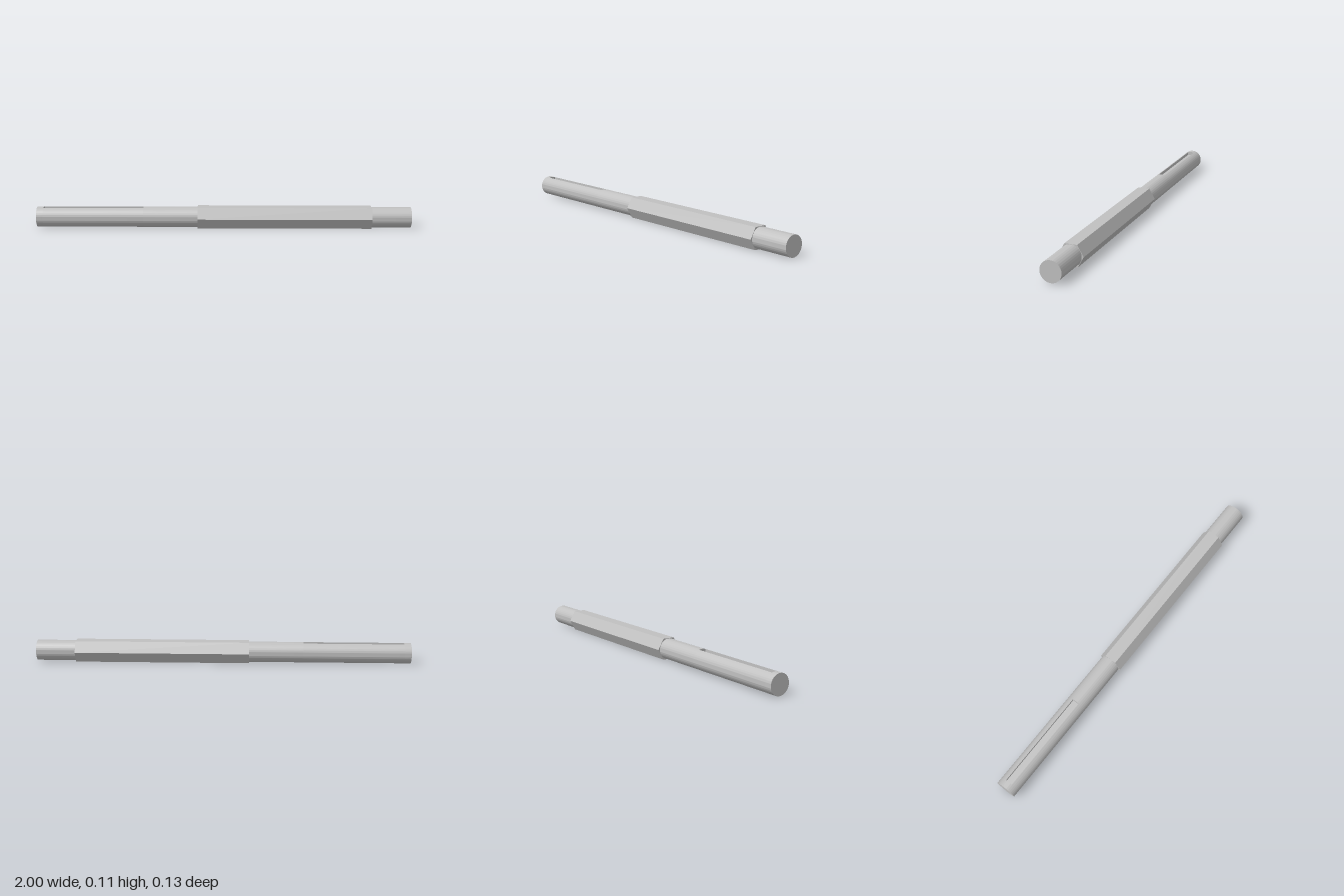
import * as THREE from 'three';
import { toCreasedNormals } from 'three/addons/utils/BufferGeometryUtils.js';

const AXIS_Y = 0.056;      // height of the shaft axis
const R = 0.0545;          // round shaft radius
const HEX_R = AXIS_Y / Math.cos(Math.PI / 6);
const SLOT_HALF = 0.0185;  // half width of the keyway
const SLOT_FLOOR = 0.034;  // keyway floor above the axis

// Round section
function roundShape() {
  const s = new THREE.Shape();
  s.absarc(0, 0, R, 0, Math.PI * 2, false);
  return s;
}

// Round section with a square notch cut in its top
function notchedShape() {
  const a = Math.asin(SLOT_HALF / R);
  const s = new THREE.Shape();
  s.absarc(0, 0, R, Math.PI / 2 + a, Math.PI * 2.5 - a, false);
  s.lineTo(SLOT_HALF, SLOT_FLOOR);
  s.lineTo(-SLOT_HALF, SLOT_FLOOR);
  s.closePath();
  return s;
}

// Hexagon with flats on top and bottom
function hexShape() {
  const pts = [];
  for (let i = 0; i < 6; i++) {
    const a = i * Math.PI / 3;
    pts.push(new THREE.Vector2(Math.cos(a) * HEX_R, Math.sin(a) * HEX_R));
  }
  return new THREE.Shape(pts);
}

export function createModel() {
  const group = new THREE.Group();
  group.name = 'hexShaft';
  const steel = new THREE.MeshStandardMaterial({ color: 0xc0c0c0 });
  steel.name = 'steel grey';

  // Extrude a section along x from x0 to x1
  function addSection(name, shape, x0, x1) {
    const geo = new THREE.ExtrudeGeometry(shape, {
      depth: x1 - x0, bevelEnabled: false, curveSegments: 72,
    });
    geo.rotateY(Math.PI / 2);
    const mesh = new THREE.Mesh(toCreasedNormals(geo, Math.PI / 6), steel);
    mesh.name = name;
    mesh.position.set(x0, AXIS_Y, 0);
    group.add(mesh);
  }

  addSection('shaftTip', roundShape(), -1, -0.965);
  addSection('keywaySection', notchedShape(), -0.965, -0.43);
  addSection('longJournal', roundShape(), -0.43, -0.14);
  addSection('hexBody', hexShape(), -0.14, 0.79);
  addSection('shortJournal', roundShape(), 0.79, 1);

  return group;
}
